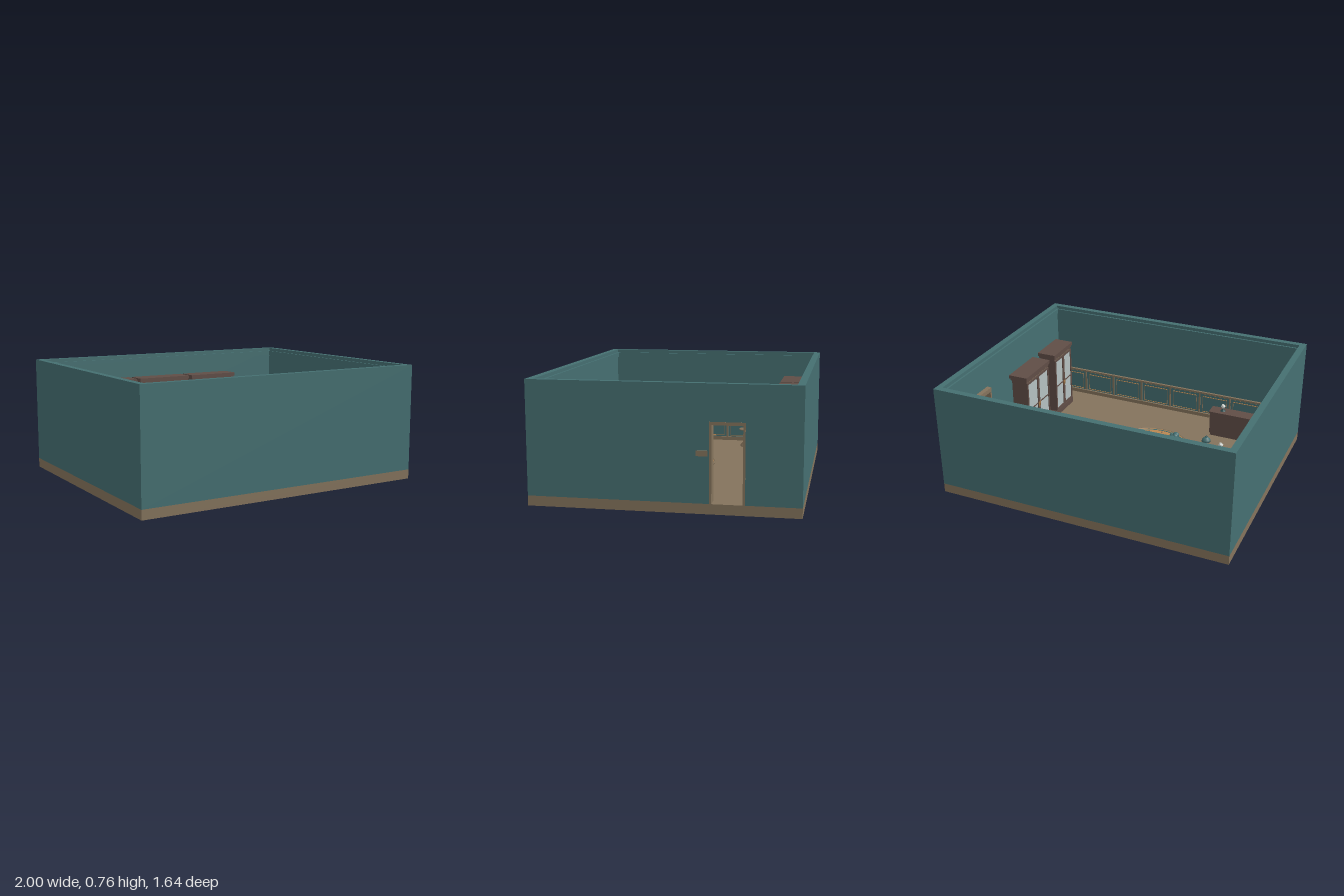
import * as THREE from 'three';

const mat = (name, color) => Object.assign(new THREE.MeshStandardMaterial({ color }), { name });
const teal = mat('teal', 0x456f71), tan = mat('tan wood', 0x84735c), dark = mat('dark wood', 0x604d46);
const brass = mat('brass', 0xb98752), red = mat('red cloth', 0x93452f), glass = mat('pale glass', 0xb4c0c0);
const white = mat('white', 0xc9cdc8), shade = mat('deep teal', 0x2f5052);
const FLOOR = 0.062;

function add(parent, name, geo, material, x = 0, y = 0, z = 0) {
  const m = new THREE.Mesh(geo, material);
  m.name = name;
  m.position.set(x, y, z);
  parent.add(m);
  return m;
}
const box = (parent, name, material, w, h, d, x, y, z) =>
  add(parent, name, new THREE.BoxGeometry(w, h, d), material, x, y, z);
// profile given from the outer bottom upwards
const lathe = (parent, name, material, pts, x = 0, y = 0, z = 0) =>
  add(parent, name, new THREE.LatheGeometry(pts.map(p => new THREE.Vector2(...p)), 40), material, x, y, z);
function part(parent, name, x, y, z, turn = 0) {
  const g = new THREE.Group();
  g.name = name;
  g.position.set(x, y, z);
  g.rotation.y = turn;
  parent.add(g);
  return g;
}

// Trim for one inner wall: skirting, chair rail, stiles, panel frames and cornice
function wallTrim(parent, name, length, panels, x, z, turn, gap) {
  const g = part(parent, name, x, 0, z, turn), h = length / 2;
  box(g, 'cornice', teal, length, 0.035, 0.012, 0, 0.725, 0.006);
  const runs = gap ? [[-h, gap[0]], [gap[1], h]] : [[-h, h]];
  for (const [a, b] of runs) {
    box(g, 'skirting', tan, b - a, 0.028, 0.014, (a + b) / 2, FLOOR + 0.014, 0.007);
    box(g, 'chairRail', tan, b - a, 0.012, 0.016, (a + b) / 2, 0.26, 0.008);
  }
  const blocked = u => gap && u > gap[0] - 0.01 && u < gap[1] + 0.01;
  const step = length / panels;
  for (let i = 0; i <= panels; i++) {
    const u = -h + i * step;
    if (!blocked(u)) box(g, 'stile', tan, 0.012, 0.17, 0.008, u, 0.172, 0.004);
    if (i === panels) break;
    const c = u + step / 2, w = step - 0.05;
    if (!blocked(c) && !blocked(c - w / 2) && !blocked(c + w / 2)) {
      for (const y of [0.1, 0.225]) box(g, 'panelMoulding', brass, w, 0.004, 0.004, c, y, 0.002);
      for (const s of [-1, 1]) box(g, 'panelMoulding', tan, 0.004, 0.125, 0.004, c + s * w / 2, 0.1625, 0.002);
    }
    for (let k = 1; k < 6; k++) {
      const q = u + k * step / 6;
      if (!blocked(q)) box(g, 'railBlock', tan, 0.009, 0.009, 0.009, q, 0.248, 0.0045);
    }
  }
}

// Display cabinet facing local +z
function cabinet(parent, name, w, h, d, x, z, turn) {
  const g = part(parent, name, x, FLOOR, z, turn);
  const bw = w - 0.03, bd = d - 0.026, f = bd / 2;
  box(g, 'plinth', dark, w - 0.012, 0.04, d - 0.01, 0, 0.02, 0);
  box(g, 'body', dark, bw, h - 0.06, bd, 0, h / 2, 0);
  box(g, 'corniceLower', dark, w - 0.014, 0.016, d - 0.012, 0, h - 0.032, 0);
  box(g, 'corniceTop', dark, w, 0.024, d, 0, h - 0.012, 0);
  for (let i = 0; i < 14; i++)
    box(g, 'dentil', tan, 0.008, 0.007, 0.006, (i - 6.5) * bw / 14, h - 0.044, f + 0.003);
  const dw = bw / 2, y0 = 0.045, y1 = h - 0.05, dh = y1 - y0, yc = (y0 + y1) / 2;
  for (const s of [-1, 1]) {
    const c = s * dw / 2;
    box(g, 'glassPane', glass, dw - 0.02, dh - 0.02, 0.004, c, yc, f + 0.002);
    for (const t of [-1, 1]) {
      box(g, 'doorStile', dark, 0.014, dh, 0.009, c + t * (dw / 2 - 0.007), yc, f + 0.0045);
      box(g, 'doorRail', dark, dw, 0.014, 0.009, c, yc + t * (dh / 2 - 0.007), f + 0.0045);
    }
    box(g, 'glazingBar', dark, dw, 0.008, 0.008, c, yc - 0.01, f + 0.004);
    box(g, 'doorHandle', brass, 0.005, 0.035, 0.006, s * 0.009, yc - 0.02, f + 0.012);
  }
}

// Small ornament: faceted stone on a turned foot
function ornament(parent, x, y, z) {
  const g = part(parent, 'ornament', x, y, z);
  lathe(g, 'ornamentFoot', shade, [[0.018, 0], [0.018, 0.005], [0.006, 0.01], [0.006, 0.025], [0, 0.025]]);
  add(g, 'ornamentStone', new THREE.IcosahedronGeometry(0.018, 0), white, 0, 0.038, 0).geometry.computeVertexNormals();
}

export function createModel() {
  const room = new THREE.Group();
  room.name = 'room';

  // Shell
  const cx = -0.005, H = 0.765, wh = H - FLOOR, wy = (H + FLOOR) / 2;
  box(room, 'floorSlab', tan, 1.99, FLOOR, 1.64, cx, FLOOR / 2, 0);
  for (const s of [-1, 1]) box(room, 'longWall', teal, 1.99, wh, 0.042, cx, wy, s * 0.799);
  box(room, 'leftEndWall', teal, 0.042, wh, 1.556, -0.979, wy, 0);
  const d0 = -0.49, d1 = -0.28, doorTop = 0.545;
  box(room, 'doorWallBack', teal, 0.042, wh, d0 + 0.778, 0.969, wy, (d0 - 0.778) / 2);
  box(room, 'doorWallFront', teal, 0.042, wh, 0.778 - d1, 0.969, wy, (d1 + 0.778) / 2);
  box(room, 'doorWallTop', teal, 0.042, H - doorTop, d1 - d0, 0.969, (H + doorTop) / 2, (d0 + d1) / 2);
  wallTrim(room, 'backTrim', 1.906, 8, cx, -0.778, 0);
  wallTrim(room, 'frontTrim', 1.906, 8, cx, 0.778, Math.PI);
  wallTrim(room, 'endTrim', 1.556, 7, -0.958, 0, Math.PI / 2);
  wallTrim(room, 'doorWallTrim', 1.556, 7, 0.948, 0, -Math.PI / 2, [-0.5, -0.27]);

  // Doorway, open door and outside plate
  const door = part(room, 'doorway', 0, 0, 0);
  for (const z of [d0 + 0.007, d1 - 0.007])
    box(door, 'jamb', tan, 0.078, doorTop - FLOOR, 0.014, 0.952, (doorTop + FLOOR) / 2, z);
  box(door, 'lintel', tan, 0.078, 0.018, 0.21, 0.952, doorTop - 0.009, -0.385);
  box(door, 'doorHead', tan, 0.032, 0.03, 0.22, 0.93, doorTop - 0.013, -0.39);
  box(door, 'doorLeaf', tan, 0.185, 0.45, 0.009, 0.815, 0.295, -0.48);
  for (const y of [0.18, 0.4]) for (const s of [-1, 1])
    box(door, 'doorPanel', dark, 0.12, 0.17, 0.004, 0.815, y, -0.48 + s * 0.005);
  for (const s of [-1, 1]) box(door, 'doorHandle', brass, 0.03, 0.007, 0.008, 0.745, 0.29, -0.48 + s * 0.01);
  for (const y of [0.14, 0.46]) box(door, 'hinge', dark, 0.012, 0.03, 0.008, 0.907, y, -0.475);
  box(room, 'wallPlate', tan, 0.01, 0.032, 0.07, 0.995, 0.36, -0.237);

  // Glazed cabinets along two walls
  for (const [x, w] of [[-0.515, 0.355], [-0.1125, 0.4], [0.3, 0.375]])
    cabinet(room, 'backCabinet', w, 0.55, 0.135, x, -0.64, 0);
  for (const [z, w] of [[0.07, 0.34], [0.46, 0.285]])
    cabinet(room, 'sideCabinet', w, 0.505, 0.14, 0.807, z, -Math.PI / 2);

  // Round rug with border ring and studs
  const rug = part(room, 'roundRug', -0.09, FLOOR, 0.15);
  lathe(rug, 'rugTop', brass, [[0.29, 0], [0.29, 0.008], [0, 0.008]]);
  const ring = (name, material, r, t, y) =>
    add(rug, name, new THREE.TorusGeometry(r, t, 8, 64).rotateX(Math.PI / 2), material, 0, y, 0);
  ring('rugRim', tan, 0.292, 0.007, 0.005);
  ring('rugBand', teal, 0.272, 0.005, 0.007);
  for (let i = 0; i < 16; i++) {
    const a = i * Math.PI / 8;
    add(rug, 'rugStud', new THREE.SphereGeometry(0.007, 10, 6), dark,
      Math.cos(a) * 0.247, 0.008, Math.sin(a) * 0.247).scale.y = 0.5;
  }

  // Shell-backed armchair facing local +x
  const chair = part(room, 'armchair', -0.218, FLOOR + 0.008, 0.12, -0.35);
  const seat = new THREE.Shape();
  seat.moveTo(0.075, -0.06);
  seat.quadraticCurveTo(0.095, 0, 0.075, 0.06);
  seat.quadraticCurveTo(0, 0.085, -0.06, 0.055);
  seat.quadraticCurveTo(-0.09, 0, -0.06, -0.055);
  seat.quadraticCurveTo(0, -0.085, 0.075, -0.06);
  const slab = (depth) => new THREE.ExtrudeGeometry(seat,
    { depth, bevelSize: 0.005, bevelThickness: 0.005, bevelSegments: 3 }).rotateX(-Math.PI / 2);
  add(chair, 'chairBase', slab(0.03), teal, 0, 0.03, 0);
  add(chair, 'seatCushion', slab(0.022), teal, 0.004, 0.075, 0);
  for (let i = 0; i < 8; i++) {
    const t = (i - 3.5) / 3.5, a = Math.PI + t * 1.55, tall = 0.12 - 0.05 * t * t;
    add(chair, 'backChannel', new THREE.CapsuleGeometry(0.019, tall, 6, 14), teal,
      Math.cos(a) * 0.083, 0.045 + tall / 2, Math.sin(a) * 0.078);
  }
  for (const x of [-0.05, 0.06]) for (const z of [-0.045, 0.045])
    add(chair, 'chairLeg', new THREE.CylinderGeometry(0.007, 0.005, 0.03, 10), dark, x, 0.015, z);

  // Round pouf with a button
  const pouf = part(room, 'pouf', 0.028, FLOOR + 0.008, 0.185);
  lathe(pouf, 'poufBody', red, [[0.055, 0], [0.066, 0.025], [0.067, 0.06], [0.06, 0.08], [0.035, 0.09], [0, 0.093]]);
  add(pouf, 'poufButton', new THREE.SphereGeometry(0.011, 14, 8), shade, 0, 0.093, 0);

  // Pedestal table with a small vase
  const stand = part(room, 'pedestalTable', -0.733, FLOOR, -0.285);
  lathe(stand, 'pedestal', tan, [[0.042, 0], [0.04, 0.012], [0.022, 0.03], [0.011, 0.06], [0.01, 0.1],
    [0.02, 0.122], [0.05, 0.126], [0.05, 0.136], [0, 0.138]]);
  lathe(stand, 'vase', teal, [[0.014, 0.136], [0.023, 0.148], [0.02, 0.162], [0.009, 0.172], [0.012, 0.182], [0, 0.182]]);
  add(stand, 'vaseMouth', new THREE.SphereGeometry(0.007, 12, 8), shade, 0, 0.183, 0);

  // Small table with a lamp and an ornament
  const table = part(room, 'smallTable', -0.578, FLOOR, 0.0925);
  box(table, 'tableTop', tan, 0.215, 0.012, 0.105, 0, 0.144, 0);
  box(table, 'tableApron', tan, 0.19, 0.025, 0.085, 0, 0.126, 0);
  for (const x of [-0.09, 0.09]) for (const z of [-0.038, 0.038])
    box(table, 'tableLeg', tan, 0.012, 0.138, 0.012, x, 0.069, z);
  lathe(table, 'tableLamp', teal, [[0.02, 0], [0.018, 0.008], [0.005, 0.014], [0.005, 0.045],
    [0.031, 0.046], [0.028, 0.06], [0.014, 0.075], [0, 0.078]], 0.048, 0.15, 0);
  add(table, 'lampFinial', new THREE.SphereGeometry(0.007, 12, 8), shade, 0.048, 0.229, 0);
  ornament(table, -0.057, 0.15, 0);

  // Low sideboard with drawers facing +z
  const side = part(room, 'sideboard', -0.568, FLOOR, 0.557);
  box(side, 'sideboardPlinth', dark, 0.3, 0.025, 0.075, 0, 0.0125, 0);
  box(side, 'sideboardBody', dark, 0.31, 0.16, 0.082, 0, 0.1, 0);
  box(side, 'sideboardTop', dark, 0.325, 0.014, 0.095, 0, 0.187, 0);
  for (const x of [-0.077, 0.077]) for (const y of [0.062, 0.138]) {
    box(side, 'drawerFront', dark, 0.14, 0.066, 0.006, x, y, 0.043);
    box(side, 'drawerHandle', brass, 0.03, 0.006, 0.012, x, y + 0.01, 0.052);
  }
  ornament(side, 0.07, 0.194, 0);
  return room;
}
